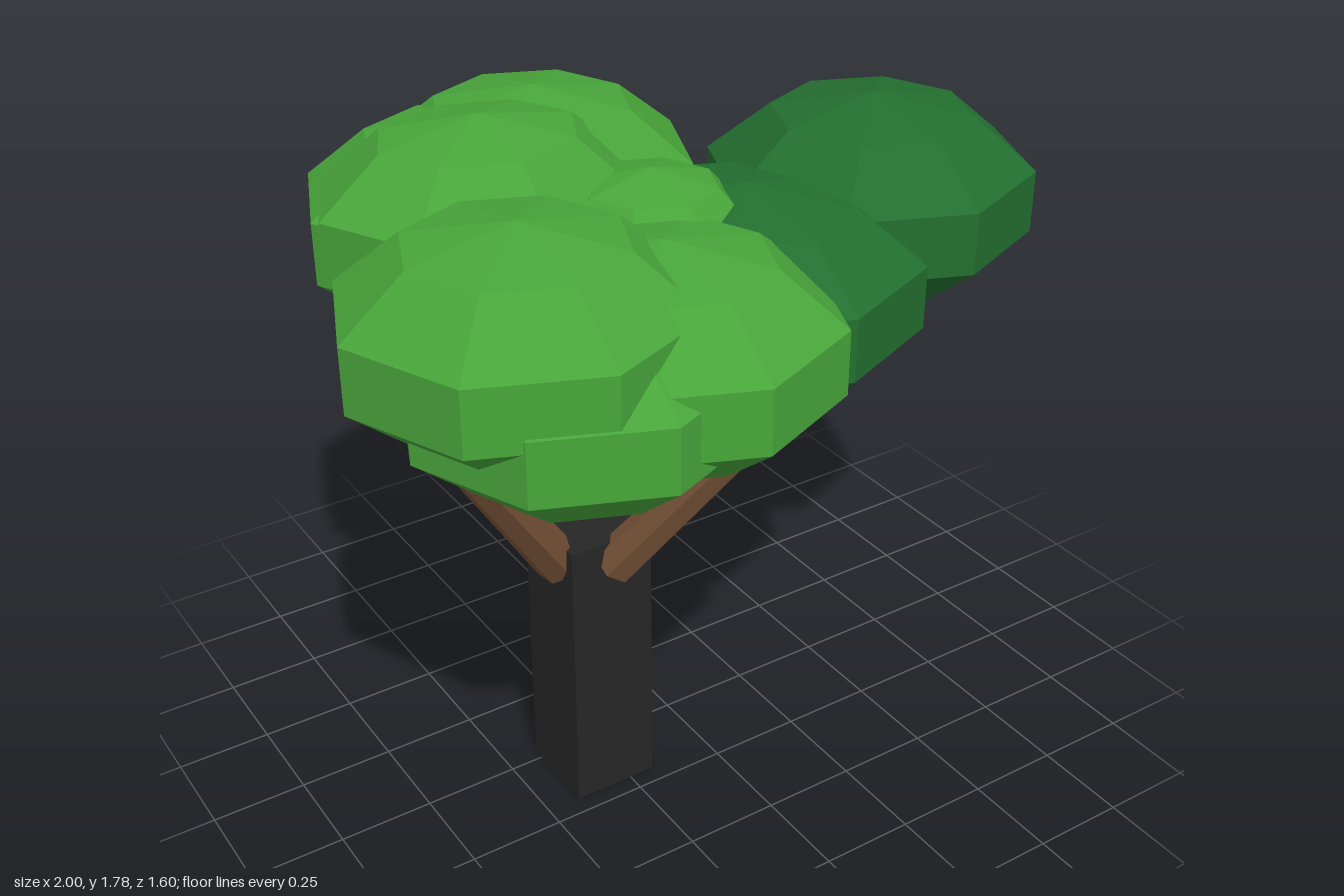
import * as THREE from 'three';

const flat = (name, color) => {
  const m = new THREE.MeshStandardMaterial({ color });
  m.name = name;
  m.flatShading = true;
  return m;
};

export function createModel() {
  const tree = new THREE.Group();
  tree.name = 'tree';
  const charcoal = flat('charcoal trunk', 0x262626);
  const bark = flat('brown bark', 0x7a5439);
  const leafLight = flat('light leaf green', 0x48a53a);
  const leafDark = flat('dark leaf green', 0x236f30);

  const add = (name, geometry, material) => {
    const mesh = new THREE.Mesh(geometry, material);
    mesh.name = name;
    tree.add(mesh);
    return mesh;
  };

  // Square trunk
  const cx = -0.295, cz = 0.085;
  add('trunk', new THREE.BoxGeometry(0.23, 0.775, 0.23), charcoal).position.set(cx, 0.3875, cz);

  // Four tapered branches, each a quarter turn from the last
  const up = new THREE.Vector3(0, 1, 0);
  for (let i = 0; i < 4; i++) {
    const turn = (v) => v.applyAxisAngle(up, i * Math.PI / 2).add(new THREE.Vector3(cx, 0, cz));
    const base = turn(new THREE.Vector3(0.02, 0.7, 0.1));
    const tip = turn(new THREE.Vector3(0.225, 1.24, 0.465));
    const dir = tip.clone().sub(base);
    const branch = add('branch', new THREE.CylinderGeometry(0.045, 0.06, dir.length(), 7), bark);
    branch.position.copy(base).add(tip).multiplyScalar(0.5);
    branch.quaternion.setFromUnitVectors(up, dir.normalize());
  }

  // Flattened eight-sided leaf clumps: material, centre, radii
  const clumps = [
    [leafDark, 0.58, 1.46, 0.05, 0.44, 0.26, 0.44],
    [leafDark, 0.12, 1.36, 0.16, 0.46, 0.26, 0.46],
    [leafDark, -0.22, 1.35, -0.38, 0.435, 0.26, 0.435],
    [leafLight, -0.58, 1.48, 0.3, 0.44, 0.26, 0.44],
    [leafLight, -0.15, 1.49, -0.39, 0.435, 0.26, 0.435],
    [leafLight, -0.4, 1.525, -0.2, 0.435, 0.26, 0.37],
    [leafLight, -0.36, 1.46, -0.35, 0.435, 0.26, 0.435],
    [leafLight, -0.1, 1.46, 0.08, 0.28, 0.22, 0.28],
    [leafLight, -0.26, 1.39, 0.38, 0.44, 0.26, 0.44],
    [leafLight, -0.47, 1.35, 0.355, 0.435, 0.26, 0.435],
  ];
  for (const [material, x, y, z, rx, ry, rz] of clumps) {
    const clump = add('leafClump', new THREE.SphereGeometry(1, 8, 5), material);
    clump.position.set(x, y, z);
    clump.scale.set(rx, ry, rz);
  }
  return tree;
}
